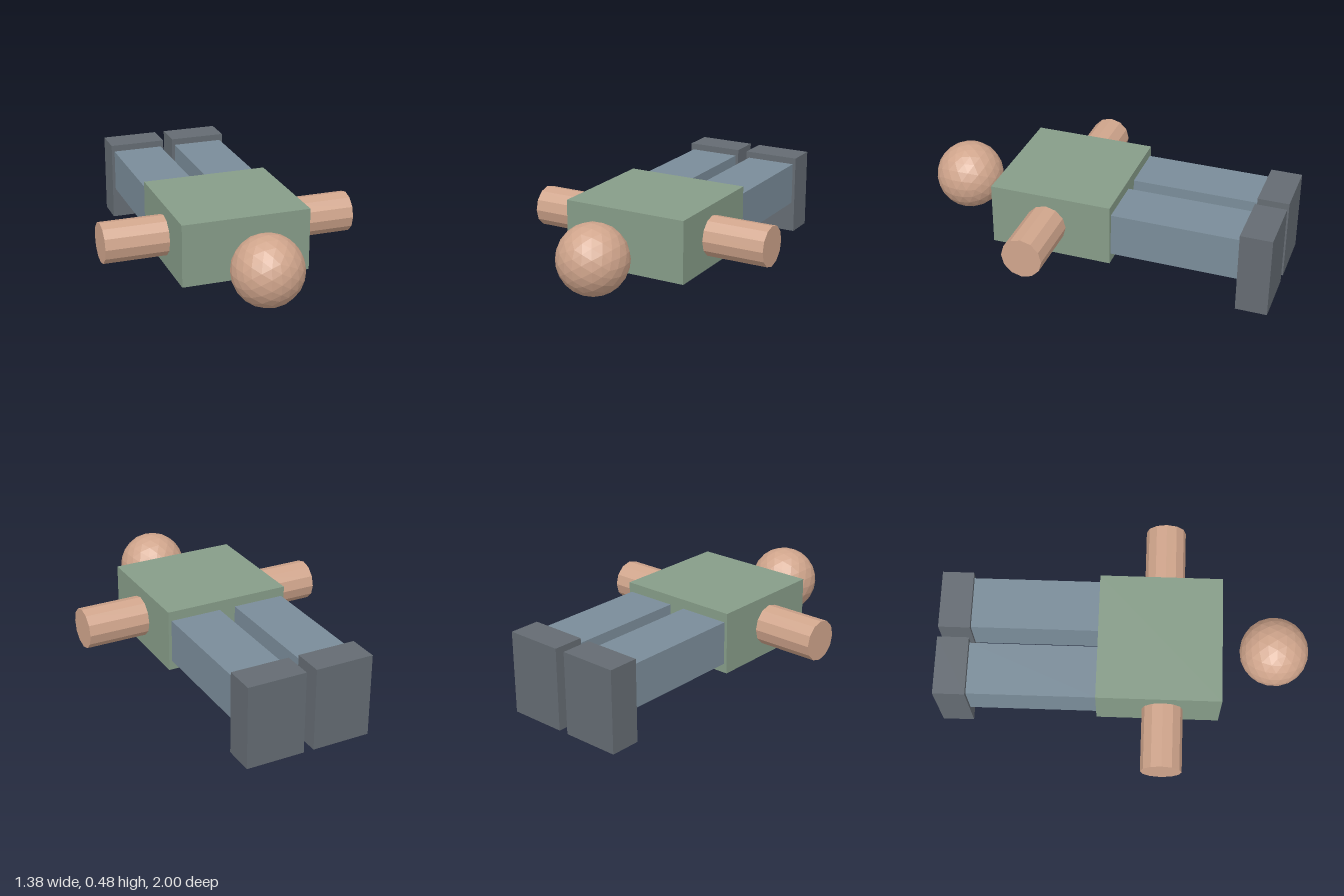
import * as THREE from 'three';

const material = (color) => new THREE.MeshStandardMaterial({ color, flatShading: true });

export function createModel() {
  const model = new THREE.Group();
  const skin = material(0xd0a58c);
  const shirt = material(0x869c88);
  const trousers = material(0x7a8c99);
  const boots = material(0x646b72);

  const add = (name, geometry, mat, x, y, z) => {
    const mesh = new THREE.Mesh(geometry, mat);
    mesh.name = name;
    mesh.position.set(x, y, z);
    model.add(mesh);
    return mesh;
  };

  // Head floating ahead of the lying body
  add('head', new THREE.IcosahedronGeometry(0.187, 3), skin, 0, 0.295, 0.813);
  add('torso', new THREE.BoxGeometry(0.696, 0.34, 0.665), shirt, 0, 0.295, 0.19);

  // Mirrored limbs
  for (const [side, s] of [['left', 1], ['right', -1]]) {
    const arm = add(side + 'Arm', new THREE.CylinderGeometry(0.11, 0.11, 0.344, 12), skin, s * 0.519, 0.295, 0.213);
    arm.rotation.z = Math.PI / 2;
    add(side + 'Leg', new THREE.BoxGeometry(0.286, 0.237, 0.688), trousers, s * 0.188, 0.295, -0.487);
    add(side + 'Foot', new THREE.BoxGeometry(0.32, 0.45, 0.17), boots, s * 0.188, 0.225, -0.915);
  }
  return model;
}
